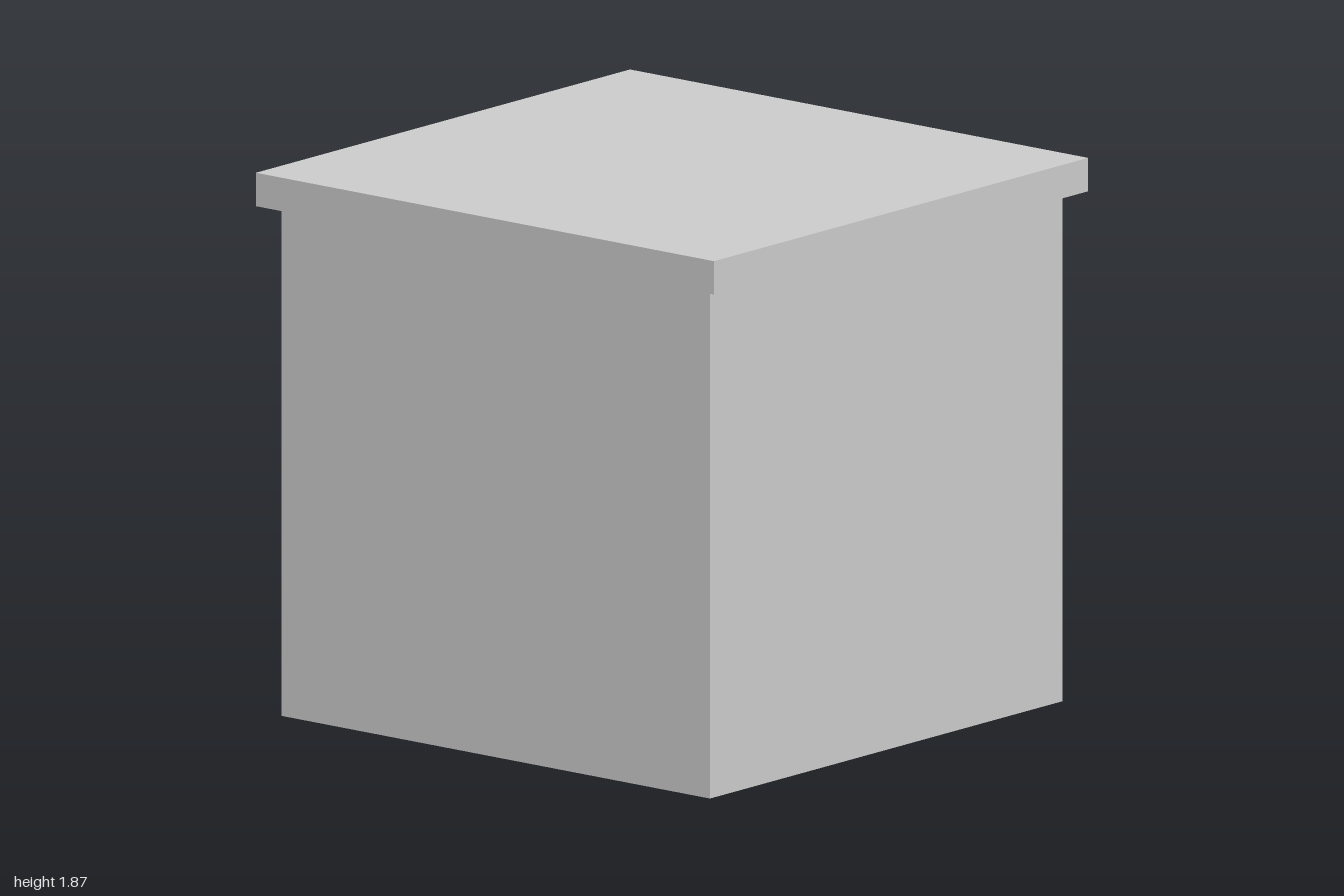
import * as THREE from 'three';

export function createModel() {
  const group = new THREE.Group();
  const material = new THREE.MeshStandardMaterial({ color: 0xcccccc, flatShading: true });

  const add = (name, geometry, x, y, z) => {
    const mesh = new THREE.Mesh(geometry, material);
    mesh.name = name;
    mesh.position.set(x, y, z);
    group.add(mesh);
  };
  // Box given by its lower and upper corners
  const addBox = (name, [x0, y0, z0], [x1, y1, z1]) =>
    add(name, new THREE.BoxGeometry(x1 - x0, y1 - y0, z1 - z0),
      (x0 + x1) / 2, (y0 + y1) / 2, (z0 + z1) / 2);
  const rectangle = (path, x0, y0, x1, y1) =>
    path.moveTo(x0, y0).lineTo(x1, y0).lineTo(x1, y1).lineTo(x0, y1).closePath();

  const halfX = 0.935, halfZ = 0.92, bodyTop = 1.755;
  const innerZ = 0.845, innerX = 0.86;

  // Carcass: a frame extruded along x, with the open shelf facing -x
  const frame = rectangle(new THREE.Shape(), -halfZ, 0, halfZ, bodyTop);
  frame.holes.push(rectangle(new THREE.Path(), -innerZ, 0.155, innerZ, 1.04));
  const carcass = new THREE.ExtrudeGeometry(frame, { depth: halfX + innerX, bevelEnabled: false });
  carcass.rotateY(-Math.PI / 2);
  add('carcass', carcass, innerX, 0, 0);

  // Panel closing the far end of the shelf
  addBox('backPanel', [innerX, 0, -halfZ], [halfX, bodyTop, halfZ]);

  // Overhanging table top
  addBox('tableTop', [-1, bodyTop, -0.977], [1, 1.87, 0.977]);

  // Raised drawer front above the shelf
  addBox('drawerFront', [-0.995, 1.14, -innerZ], [-halfX, 1.655, innerZ]);

  return group;
}
